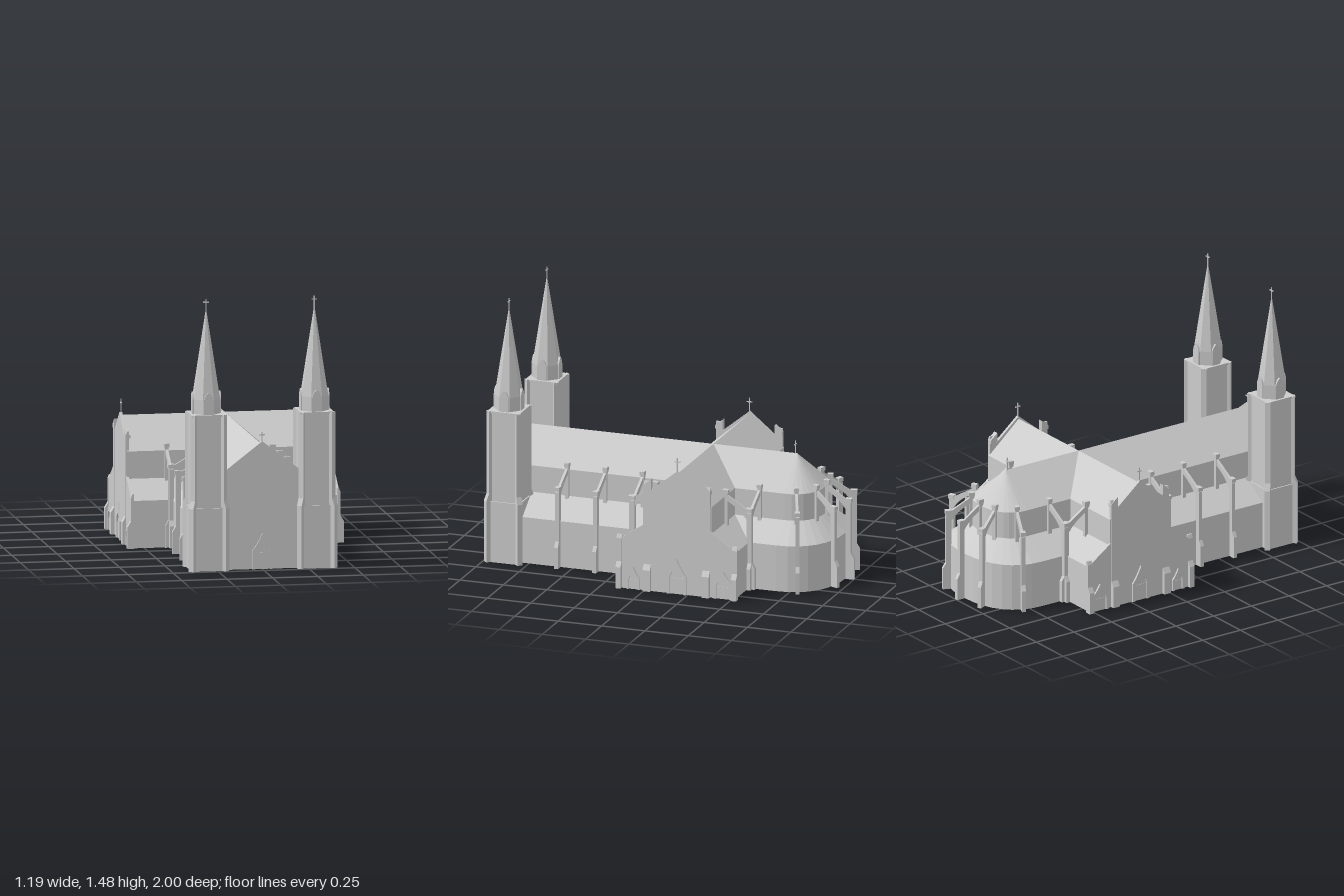
import * as THREE from 'three';

const mat = new THREE.MeshStandardMaterial({ color: 0xcccccc, flatShading: true, side: THREE.DoubleSide });

function add(parent, name, geo, x = 0, y = 0, z = 0) {
  const m = new THREE.Mesh(geo, mat);
  m.name = name;
  m.position.set(x, y, z);
  parent.add(m);
  return m;
}
function group(parent, name, x = 0, y = 0, z = 0, ry = 0) {
  const g = new THREE.Group();
  g.name = name;
  g.position.set(x, y, z);
  g.rotation.y = ry;
  parent.add(g);
  return g;
}
// Box given by its limits
function block(parent, name, x0, x1, y0, y1, z0, z1) {
  return add(parent, name, new THREE.BoxGeometry(x1 - x0, y1 - y0, z1 - z0),
    (x0 + x1) / 2, (y0 + y1) / 2, (z0 + z1) / 2);
}
const poly = pts => new THREE.Shape(pts.map(p => new THREE.Vector2(...p)));
// Outline in xy, extruded from z0 to z1
function prism(parent, name, shape, z0, z1) {
  const geo = new THREE.ExtrudeGeometry(shape, { depth: z1 - z0, bevelEnabled: false, curveSegments: 8 });
  return add(parent, name, geo, 0, 0, z0);
}
const house = (w, eave, ridge) => poly([[-w, 0], [w, 0], [w, eave], [0, ridge], [-w, eave]]);
const aisles = (w, eave, inner, top) =>
  poly([[-w, 0], [w, 0], [w, eave], [inner, top], [-inner, top], [-w, eave]]);

function cross(parent, x, y, z, h, ry = 0) {
  const g = group(parent, 'cross', x, y, z, ry);
  block(g, 'crossPost', -0.0025, 0.0025, -0.01, h, -0.0025, 0.0025);
  block(g, 'crossArm', -0.016, 0.016, h * 0.74 - 0.003, h * 0.74 + 0.003, -0.0025, 0.0025);
}

// Pointed portal facing local +z, standing on the wall plane
function portal(parent, name, w, h, x, z, ry) {
  const g = group(parent, name, x, 0, z, ry);
  const frame = new THREE.Shape();
  frame.moveTo(-w, 0);
  frame.lineTo(-w, h * 0.52);
  frame.quadraticCurveTo(-w * 0.45, h * 0.7, 0, h);
  frame.quadraticCurveTo(w * 0.45, h * 0.7, w, h * 0.52);
  frame.lineTo(w, 0);
  const i = w * 0.7;
  frame.lineTo(i, 0);
  frame.lineTo(i, h * 0.42);
  frame.quadraticCurveTo(i * 0.9, h * 0.66, 0, h * 0.7);
  frame.quadraticCurveTo(-i * 0.9, h * 0.66, -i, h * 0.42);
  frame.lineTo(-i, 0);
  prism(g, 'portalFrame', frame, -0.005, 0.01);
  block(g, 'door', -i, i, 0, h * 0.45, -0.005, 0.002);
}

// Wall buttress with stepped foot, projecting to local +x
function pier(g, w, top, depth) {
  const d = depth, f = depth + 0.018;
  prism(g, 'pier', poly([[-0.005, 0], [f, 0], [f, 0.12], [d, 0.15], [d, top - 0.02], [d * 0.3, top], [-0.005, top]]),
    -w / 2, w / 2);
}
// Flying buttress: from the high wall (u = 0) over the aisle to a pier at u = L
function flyer(parent, x, z, angle, L) {
  const g = group(parent, 'flyingButtress', x, 0, z, angle);
  block(g, 'wallPilaster', -0.01, 0.018, 0.3, 0.53, -0.01, 0.01);
  block(g, 'pilasterHead', -0.01, 0.022, 0.53, 0.55, -0.013, 0.013);
  const outer = group(g, 'outerPier', L);
  pier(outer, 0.022, 0.45, 0.024);
  block(outer, 'pierHead', -0.008, 0.028, 0.435, 0.457, -0.014, 0.014);
  const arch = new THREE.Shape();
  arch.moveTo(0, 0.53);
  arch.lineTo(L + 0.01, 0.44);
  arch.lineTo(L + 0.01, 0.36);
  arch.quadraticCurveTo(L * 0.85, 0.44, 0, 0.495);
  prism(g, 'flyingArch', arch, -0.007, 0.007);
}

function tower(parent, x, z) {
  const t = group(parent, 'tower', x, 0, z);
  block(t, 'towerBase', -0.095, 0.095, 0, 0.345, -0.095, 0.095);
  block(t, 'towerShaft', -0.088, 0.088, 0.345, 0.85, -0.088, 0.088);
  for (const sx of [-1, 1]) for (const sz of [-1, 1]) {
    // Diagonal corner buttresses with a sloped set-off
    const b = group(t, 'cornerButtress', sx, 0, sz);
    const c = (y0, y1, o0, o1) => {
      const geo = new THREE.CylinderGeometry(0.022, 0.022, y1 - y0, 4);
      const p = geo.attributes.position;
      for (let i = 0; i < p.count; i++) {
        const o = p.getY(i) > 0 ? o1 : o0;
        p.setX(i, p.getX(i) + sx * (o - 1));
        p.setZ(i, p.getZ(i) + sz * (o - 1));
      }
      add(b, 'buttressStage', geo, 0, (y0 + y1) / 2, 0);
    };
    c(0, 0.345, 0.09, 0.09);
    c(0.345, 0.385, 0.09, 0.079);
    c(0.385, 0.855, 0.079, 0.079);
  }
  block(t, 'cornice', -0.092, 0.092, 0.845, 0.856, -0.092, 0.092);
  // Octagonal belfry and spire
  const r = 0.072 / Math.cos(Math.PI / 8);
  const oct = (name, r1, r0, y0, y1) =>
    add(t, name, new THREE.CylinderGeometry(r1, r0, y1 - y0, 8), 0, (y0 + y1) / 2, 0).rotation.y = Math.PI / 8;
  oct('belfry', r, r, 0.85, 0.935);
  oct('spire', 0.002, r, 0.935, 1.42);
  for (let k = 0; k < 4; k++) {
    const g = group(t, 'spireGablet', 0, 0.85, 0, k * Math.PI / 2);
    const s = new THREE.Shape();
    s.moveTo(-0.026, 0);
    s.lineTo(-0.026, 0.08);
    s.quadraticCurveTo(-0.022, 0.11, 0, 0.125);
    s.quadraticCurveTo(0.022, 0.11, 0.026, 0.08);
    s.lineTo(0.026, 0);
    prism(g, 'gablet', s, 0.04, 0.079);
  }
  cross(t, 0, 1.41, 0, 0.07);
}

// Rounded east end, lofted through half rings [halfWidth, depth, y]
function apse(parent, name, rings, zc) {
  const n = 16, pos = [], idx = [];
  for (const [w, d, y] of rings) for (let i = 0; i <= n; i++) {
    const a = Math.PI * i / n, e = 0.86;
    const c = Math.cos(a), s = Math.sin(a);
    pos.push(w * Math.sign(c) * Math.abs(c) ** e, y, zc - d * Math.abs(s) ** e);
  }
  for (let j = 0; j < rings.length - 1; j++) for (let i = 0; i < n; i++) {
    const a = j * (n + 1) + i, b = a + n + 1;
    idx.push(a, a + 1, b, a + 1, b + 1, b);
  }
  const geo = new THREE.BufferGeometry();
  geo.setAttribute('position', new THREE.Float32BufferAttribute(pos, 3));
  geo.setIndex(idx);
  geo.computeVertexNormals();
  add(parent, name, geo);
}

export function createModel() {
  const model = new THREE.Group();
  model.name = 'church';
  const zt = -0.187, zc = -0.67;

  // Nave with side aisles and west front
  const nave = group(model, 'nave');
  prism(nave, 'naveHall', house(0.2, 0.51, 0.68), zc, 0.93);
  prism(nave, 'sideAisles', aisles(0.345, 0.26, 0.2, 0.36), zc, 0.8);
  prism(nave, 'westGable', house(0.205, 0.542, 0.7), 0.925, 0.945);
  portal(nave, 'westPortal', 0.056, 0.197, 0, 0.945, 0);
  cross(nave, 0, 0.69, 0.935, 0.06);

  // Transept, drawn along local z and turned to run along x
  const transept = group(model, 'transept', 0, 0, zt, Math.PI / 2);
  prism(transept, 'transeptHall', house(0.197, 0.51, 0.68), -0.57, 0.57);
  prism(transept, 'transeptAisles', aisles(0.33, 0.26, 0.197, 0.36), -0.57, 0.57);
  for (const s of [-1, 1]) {
    const end = group(model, 'transeptEnd', s * 0.56, 0, zt, s * Math.PI / 2);
    prism(end, 'endGable', house(0.19, 0.54, 0.695), 0, 0.016);
    prism(end, 'aisleEndWall', aisles(0.335, 0.275, 0.19, 0.375), 0, 0.014);
    for (const k of [-1, 1]) {
      const hi = group(end, 'gableButtress', k * 0.17, 0, 0.005, -Math.PI / 2);
      pier(hi, 0.042, 0.62, 0.012);
      prism(end, 'buttressCap', poly([[k * 0.149, 0.58], [k * 0.192, 0.58], [k * 0.192, 0.6], [k * 0.149, 0.635]]), -0.01, 0.018);
      const lo = group(end, 'aisleButtress', k * 0.333, 0, 0.005, -Math.PI / 2);
      pier(lo, 0.03, 0.3, 0.012);
    }
    portal(end, 'transeptPortal', 0.056, 0.2, 0, 0.016, 0);
    // Side doors sit by world z, so mirror the offset
    portal(end, 'smallDoor', 0.037, 0.125, -s * 0.25, 0.014, 0);
    portal(end, 'sideDoor', 0.058, 0.155, s * 0.27, 0.014, 0);
    cross(end, 0, 0.685, 0.008, 0.085);
  }

  // Apse and ambulatory
  const east = group(model, 'eastEnd');
  apse(east, 'ambulatory', [[0.345, 0.28, 0], [0.345, 0.28, 0.26], [0.2, 0.165, 0.36]], zc);
  apse(east, 'apse', [[0.2, 0.165, 0.34], [0.2, 0.165, 0.51], [0, 0, 0.68]], zc);
  const floor = new THREE.Shape();
  floor.absellipse(0, 0, 0.34, 0.275, 0, Math.PI);
  const slab = add(east, 'apseFloor', new THREE.ShapeGeometry(floor, 10), 0, 0.004, zc);
  slab.rotation.x = -Math.PI / 2;
  cross(east, 0, 0.67, -0.66, 0.08);

  // Flying buttresses along nave, transept corners and apse
  for (const s of [-1, 1]) {
    const out = s > 0 ? 0 : Math.PI;
    for (const z of [0.58, 0.36, 0.145, -0.53]) flyer(model, s * 0.2, z, out, 0.145);
    flyer(model, s * 0.355, zt + 0.197, -Math.PI / 2, 0.132);
    flyer(model, s * 0.355, zt - 0.197, Math.PI / 2, 0.132);
    for (const [x, z, deg, L] of [[0.192, -0.735, 22.5, 0.14], [0.108, -0.815, 67.5, 0.125]]) {
      const a = deg * Math.PI / 180;
      flyer(model, s * x, z, s > 0 ? a : Math.PI - a, L);
    }
    tower(model, s * 0.298, 0.883);
  }
  flyer(model, 0, -0.835, Math.PI / 2, 0.123);
  return model;
}
